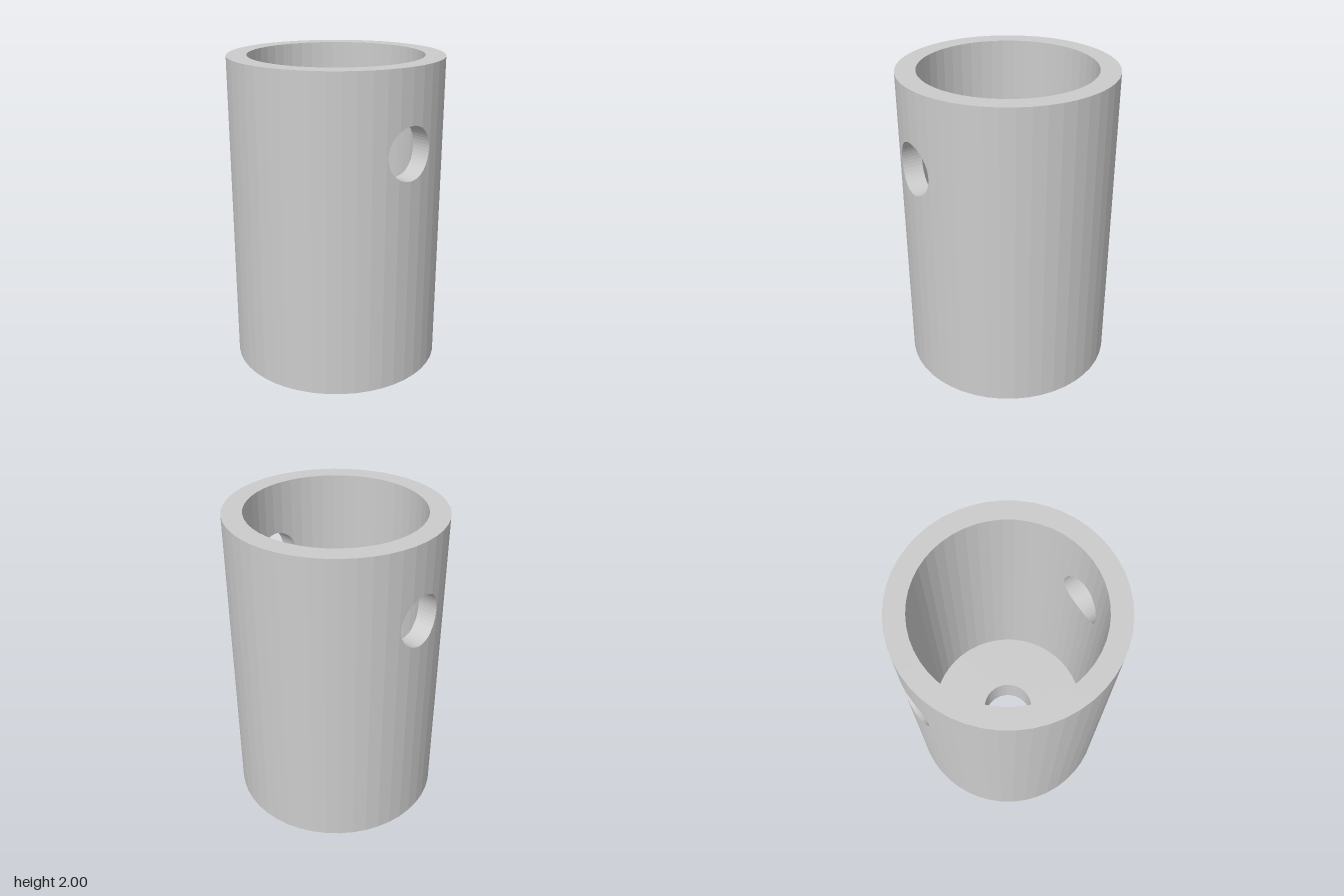
import * as THREE from 'three';

const SIDES = 48, STEP = (Math.PI * 2) / SIDES;
const OUTER = 0.675, INNER = 0.55, HEIGHT = 2, FLOOR = 0.25, DRAIN = 0.175;
const HOLE_R = 0.165, HOLE_Y = 1.5;

// x of the facet edges on the front half of a faceted cylinder
const facetXs = (R) =>
  Array.from({ length: SIDES / 2 + 1 }, (_, i) => R * Math.sin((i - SIDES / 4) * STEP));

// z of the faceted cylinder's front surface at a given x
function surfaceZ(R, x) {
  const a = Math.asin(THREE.MathUtils.clamp(x / R, -1, 1));
  const i = Math.min(Math.floor(a / STEP + 1e-6), SIDES / 4 - 1);
  const a0 = i * STEP, a1 = a0 + STEP;
  const t = (x / R - Math.sin(a0)) / (Math.sin(a1) - Math.sin(a0));
  return R * THREE.MathUtils.lerp(Math.cos(a0), Math.cos(a1), t);
}

function sortedUnique(xs) {
  return xs.sort((a, b) => a - b).filter((x, i) => i === 0 || x - xs[i - 1] > 1e-5);
}

// Columns crossing the side hole: its own corners plus the facet edges of both walls
const holeXs = sortedUnique([
  ...Array.from({ length: 25 }, (_, i) => -HOLE_R * Math.cos((i * Math.PI) / 24)),
  ...[...facetXs(OUTER), ...facetXs(INNER)].filter((x) => Math.abs(x) < HOLE_R),
]);
const holeHalf = (x) => Math.sqrt(Math.max(0, HOLE_R * HOLE_R - x * x));

// Half of the tube wall, with the side hole cut through it
function halfWall() {
  const pos = [];
  const quad = (a, b, c, d, flip) => {
    const order = flip ? [a, c, b, a, d, c] : [a, b, c, a, c, d];
    order.forEach((p) => pos.push(...p));
  };
  for (const [R, bottom, flip] of [[OUTER, 0, false], [INNER, FLOOR, true]]) {
    const xs = sortedUnique([...facetXs(R).filter((x) => Math.abs(x) > HOLE_R), ...holeXs]);
    for (let i = 0; i < xs.length - 1; i++) {
      const p = xs[i], q = xs[i + 1];
      const P = (y) => [p, y, surfaceZ(R, p)], Q = (y) => [q, y, surfaceZ(R, q)];
      const hp = holeHalf(p), hq = holeHalf(q);
      if (hp + hq > 1e-4) {
        quad(P(bottom), Q(bottom), Q(HOLE_Y - hq), P(HOLE_Y - hp), flip);
        quad(P(HOLE_Y + hp), Q(HOLE_Y + hq), Q(HEIGHT), P(HEIGHT), flip);
      } else {
        quad(P(bottom), Q(bottom), Q(HEIGHT), P(HEIGHT), flip);
      }
    }
  }
  // Bore of the side hole, lower and upper arcs
  for (let i = 0; i < holeXs.length - 1; i++) {
    const p = holeXs[i], q = holeXs[i + 1];
    for (const s of [-1, 1]) {
      const yp = HOLE_Y + s * holeHalf(p), yq = HOLE_Y + s * holeHalf(q);
      quad([p, yp, surfaceZ(OUTER, p)], [q, yq, surfaceZ(OUTER, q)],
        [q, yq, surfaceZ(INNER, q)], [p, yp, surfaceZ(INNER, p)], s > 0);
    }
  }
  const geo = new THREE.BufferGeometry();
  geo.setAttribute('position', new THREE.Float32BufferAttribute(pos, 3));
  geo.computeVertexNormals();
  return geo;
}

export function createModel() {
  const group = new THREE.Group();
  group.name = 'drilledCup';
  const material = new THREE.MeshStandardMaterial({ color: 0xcccccc, flatShading: true });
  const add = (name, geometry) => {
    const mesh = new THREE.Mesh(geometry, material);
    mesh.name = name;
    group.add(mesh);
    return mesh;
  };
  const lathe = (points) =>
    new THREE.LatheGeometry(points.map(([x, y]) => new THREE.Vector2(x, y)), SIDES);

  // Front and back halves of the wall
  const wall = halfWall();
  add('frontWall', wall);
  add('backWall', wall).rotation.y = Math.PI;

  // Flat top rim, and the floor with its central drain hole
  add('rim', lathe([[OUTER, HEIGHT], [INNER, HEIGHT]]));
  add('floor', lathe([[INNER, FLOOR], [DRAIN, FLOOR], [DRAIN, 0], [OUTER, 0]]));
  return group;
}
